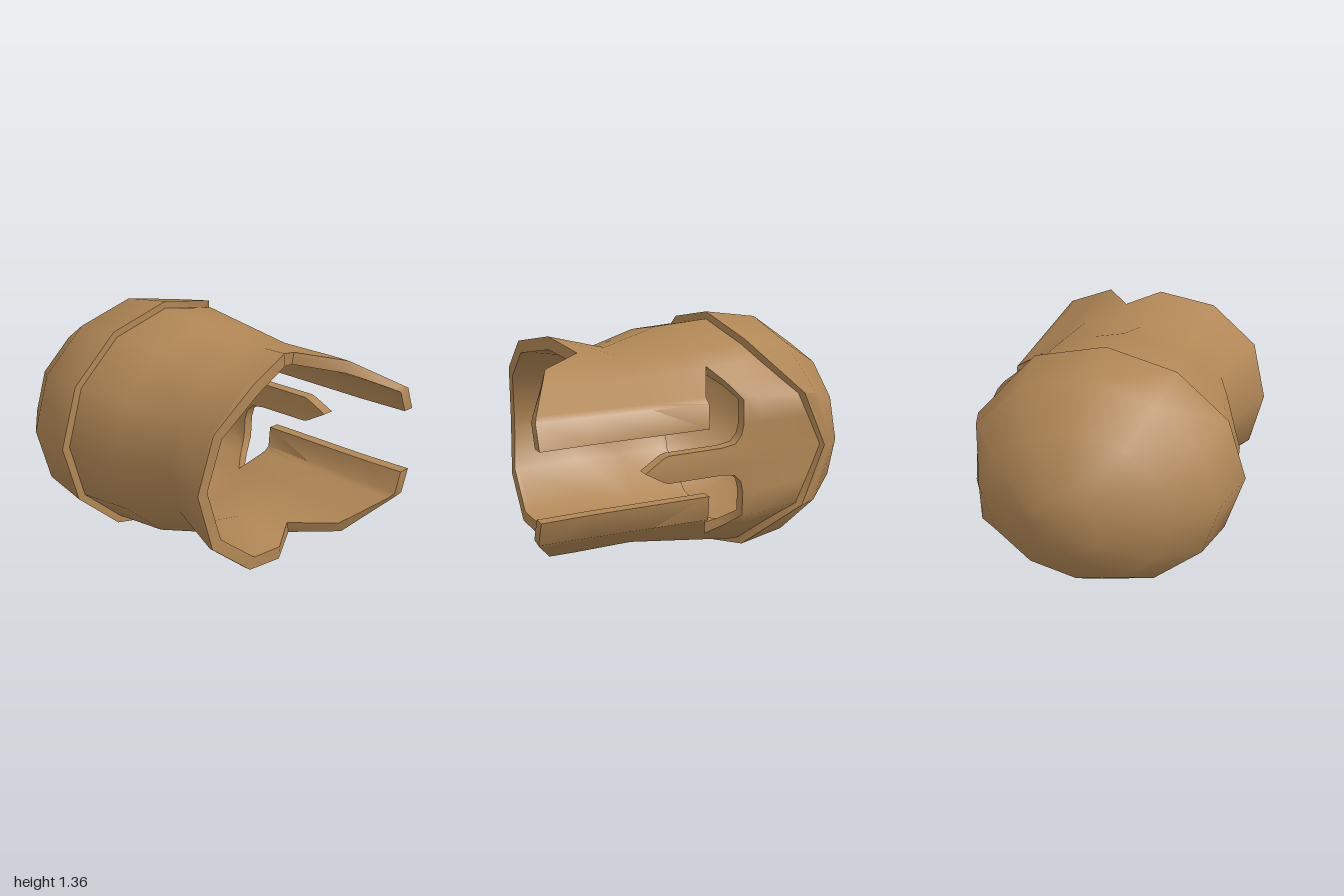
import * as THREE from 'three';
import { mergeGeometries, toCreasedNormals } from 'three/addons/utils/BufferGeometryUtils.js';

const MID = 0.683; // height of the symmetry plane

// Half cross-sections [x, y] from face centre (0) round to the nape (6)
const STATIONS = [-0.72, -0.26, 0.05, 0.36, 0.7, 1.0];
const SECTIONS = [
  [[0.62, 0], [0.63, 0.3], [0.36, 0.5], [0.04, 0.55], [-0.3, 0.48], [-0.55, 0.28], [-0.64, 0]],
  [[0.7, 0], [0.69, 0.325], [0.42, 0.56], [0.045, 0.64], [-0.33, 0.555], [-0.6, 0.325], [-0.7, 0]],
  [[0.72, 0], [0.69, 0.32], [0.4, 0.53], [0.04, 0.62], [-0.3, 0.545], [-0.56, 0.32], [-0.645, 0]],
  [[0.74, 0], [0.69, 0.32], [0.38, 0.5], [0.03, 0.525], [-0.25, 0.465], [-0.45, 0.27], [-0.53, 0]],
  [[0.76, 0], [0.69, 0.32], [0.38, 0.51], [0.01, 0.615], [-0.3, 0.535], [-0.565, 0.325], [-0.65, 0]],
  [[0.81, 0], [0.69, 0.32], [0.36, 0.52], [0.01, 0.615], [-0.3, 0.535], [-0.565, 0.325], [-0.65, 0]],
];
const BROW_LINE = [-0.72, -0.57, -0.33, -0.29, -0.29, -0.29, -0.29];

const lerp = THREE.MathUtils.lerp;
const clamp = THREE.MathUtils.clamp;

function browLine(u) {
  const i = Math.min(5, Math.floor(u));
  return lerp(BROW_LINE[i], BROW_LINE[i + 1], u - i);
}

function shellPoint(u, z) {
  const i = Math.min(5, Math.floor(u));
  let k = 0;
  while (k < 4 && z > STATIONS[k + 1]) k++;
  const t = (z - STATIONS[k]) / (STATIONS[k + 1] - STATIONS[k]);
  const at = (s, c) => lerp(s[i][c], s[i + 1][c], u - i);
  return [0, 1].map((c) => lerp(at(SECTIONS[k], c), at(SECTIONS[k + 1], c), t)).concat(z);
}

// Inner face of the shell; the edges of the face opening stay square
function innerPoint(u, z) {
  const [x, y] = shellPoint(u, z);
  const pull = 0.12 * clamp((u - 0.6) / 1.4, 0, 1);
  return [0.05 + (x - 0.05) * 0.9, y * (1 - pull), z];
}

// Closed solid between two grids (rows x columns), plus its mirror half
function addSolid(out, outer, inner) {
  const tri = (...pts) => {
    const [a, b, c] = pts.map((p) => new THREE.Vector3(...p));
    if (b.clone().sub(a).cross(c.clone().sub(a)).length() < 1e-8) return;
    out.push(a, b, c);
    for (const v of [a, c, b]) out.push(new THREE.Vector3(v.x, -v.y, v.z));
  };
  const quad = (a, b, c, d) => { tri(a, b, c); tri(a, c, d); };
  const R = outer.length - 1, C = outer[0].length - 1;
  for (let r = 0; r < R; r++) {
    for (let c = 0; c < C; c++) {
      quad(outer[r][c], outer[r][c + 1], outer[r + 1][c + 1], outer[r + 1][c]);
      quad(inner[r][c], inner[r + 1][c], inner[r + 1][c + 1], inner[r][c + 1]);
    }
  }
  const loop = [];
  for (let c = 0; c < C; c++) loop.push([0, c]);
  for (let r = 0; r < R; r++) loop.push([r, C]);
  for (let c = C; c > 0; c--) loop.push([R, c]);
  for (let r = R; r > 0; r--) loop.push([r, 0]);
  loop.forEach(([r, c], i) => {
    const [s, d] = loop[(i + 1) % loop.length];
    quad(outer[r][c], inner[r][c], inner[s][d], outer[s][d]);
  });
}

// Shell plate from columns [u, top edge z, bottom edge z]
function addPlate(out, columns) {
  const levels = [-9, ...STATIONS, 9];
  const grid = (point) => levels.map((l) => columns.map(([u, a, b]) => point(u, clamp(l, a, b))));
  addSolid(out, grid(shellPoint), grid(innerPoint));
}

function toGeometry(points) {
  const g = new THREE.BufferGeometry().setFromPoints(points);
  return toCreasedNormals(g, 0.95);
}

function buildShell() {
  const out = [];
  // brow and nose guard, with the upper edge of the eye opening
  addPlate(out, [
    [0, 0.43], [0.2, 0.32], [0.235, 0.29], [0.236, -0.03], [0.27, -0.11], [0.4, -0.15],
    [0.58, -0.165], [1, -0.165], [1.35, -0.11], [1.7, -0.04],
  ].map(([u, z]) => [u, browLine(u), z]));
  // cheek guards
  addPlate(out, [[0.58, 0.04, 1], [1, 0.04, 1], [1.13, 0.04, 0.98], [1.7, -0.04, 0.88]]);
  // sides and flared neck guard
  addPlate(out, [
    [1.7, 0.88], [2, 0.83], [2.5, 0.585], [3, 0.68], [4, 0.745], [5, 0.72], [6, 0.69],
  ].map(([u, z]) => [u, browLine(u), z]));
  return toGeometry(out);
}

function buildCrown() {
  // Rings [z, x radius, y radius] from crown to rim
  const rings = [[-1, 0, 0], [-1, 0.195, 0.168], [-0.82, 0.525, 0.452], [-0.57, 0.735, 0.632], [-0.26, 0.795, 0.682]];
  const outer = rings.map(([z, rx, ry]) => {
    const row = [];
    for (let i = 0; i <= 6; i++) {
      const a = (i * Math.PI) / 6;
      row.push([0.045 + rx * Math.cos(a), i === 6 ? 0 : ry * Math.sin(a), z]);
    }
    return row;
  });
  // rim rises to a peak over the face
  outer[3][0] = [0.61, 0, -0.765];
  outer[3][1] = [0.665, 0.305, -0.63];
  outer[4][0] = [0.65, 0, -0.7];
  outer[4][1] = [0.69, 0.32, -0.54];
  outer[4][2][2] = -0.3;
  const inner = outer.map((row) => row.map(([x, y, z]) =>
    [0.045 + (x - 0.045) * 0.9, y * 0.9, -0.26 + (z + 0.26) * 0.9]));
  const out = [];
  addSolid(out, outer, inner);
  return toGeometry(out);
}

export function createModel() {
  const bronze = new THREE.MeshStandardMaterial({ color: 0xb08655 });
  bronze.name = 'bronze';
  const group = new THREE.Group();
  group.name = 'helmet';
  for (const [name, geometry] of [['faceAndNeckShell', buildShell()], ['crownDome', buildCrown()]]) {
    const mesh = new THREE.Mesh(geometry, bronze);
    mesh.name = name;
    mesh.position.y = MID;
    group.add(mesh);
  }
  return group;
}
